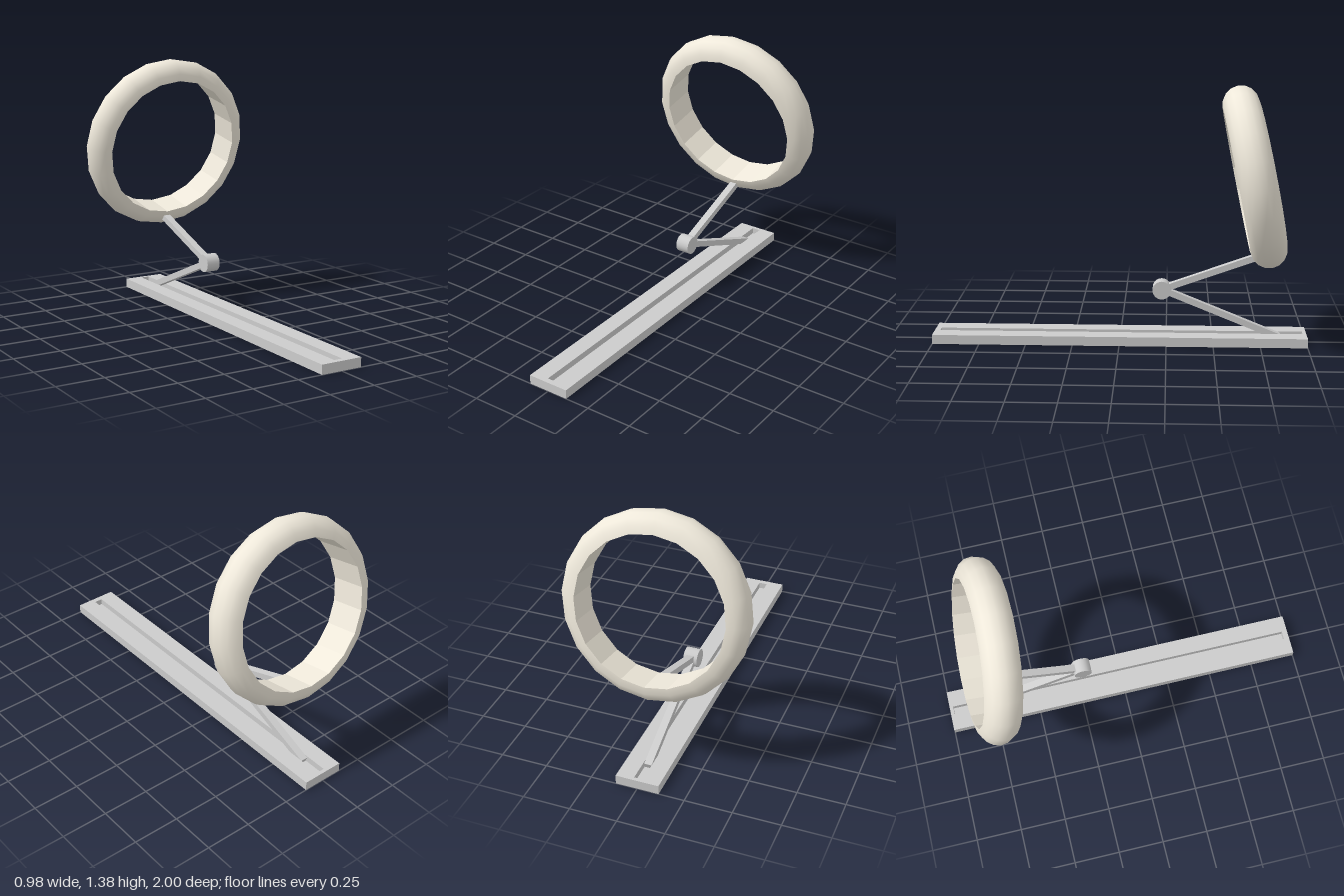
import * as THREE from 'three';

const grey = new THREE.MeshStandardMaterial({ color: 0xcccccc });
const cream = new THREE.MeshStandardMaterial({ color: 0xeee8da });
const creamFlat = new THREE.MeshStandardMaterial({ color: 0xeee8da, flatShading: true });

function add(parent, name, geometry, material = grey) {
  const mesh = new THREE.Mesh(geometry, material);
  mesh.name = name;
  parent.add(mesh);
  return mesh;
}

// Closed rectangle outline
function rect(path, x0, y0, x1, y1) {
  path.moveTo(x0, y0);
  path.lineTo(x1, y0);
  path.lineTo(x1, y1);
  path.lineTo(x0, y1);
  path.closePath();
  return path;
}

// Square bar between two points [y, z] in the middle plane
function addBar(parent, name, [y0, z0], [y1, z1]) {
  const length = Math.hypot(y1 - y0, z1 - z0);
  const bar = add(parent, name, new THREE.BoxGeometry(0.04, 0.033, length));
  bar.position.set(0, (y0 + y1) / 2, (z0 + z1) / 2);
  bar.rotation.x = -Math.atan2(y1 - y0, z1 - z0);
}

export function createModel() {
  const model = new THREE.Group();

  // Long base rail with a slot along its top
  const rail = new THREE.Group();
  rail.name = 'baseRail';
  model.add(rail);
  const floorHeight = 0.015;
  const outline = rect(new THREE.Shape(), -0.115, -1, 0.115, 1);
  outline.holes.push(rect(new THREE.Path(), -0.023, -0.97, 0.023, 0.98));
  const frame = new THREE.ExtrudeGeometry(outline, { depth: 0.05 - floorHeight, bevelEnabled: false });
  frame.rotateX(-Math.PI / 2);
  add(rail, 'slottedTop', frame).position.y = floorHeight;
  add(rail, 'railFloor', new THREE.BoxGeometry(0.23, floorHeight, 2)).position.y = floorHeight / 2;

  // Folding arm: two bars meeting at a round hinge
  const hinge = [0.287, -0.225];
  addBar(model, 'lowerArm', hinge, [0.03, -0.855]);
  addBar(model, 'upperArm', hinge, [0.477, -0.755]);
  const pivot = add(model, 'hinge', new THREE.CylinderGeometry(0.049, 0.049, 0.076, 24));
  pivot.rotation.z = Math.PI / 2;
  pivot.position.set(0, ...hinge);

  // Tilted ring: rounded outside, flat-sided inside
  const ring = new THREE.Group();
  ring.name = 'ring';
  ring.position.set(0, 0.899, -0.708);
  ring.rotation.x = Math.PI / 2 + THREE.MathUtils.degToRad(11.5);
  model.add(ring);
  const innerRadius = 0.389, halfWidth = 0.097, steps = 8, sides = 20;
  const bulge = [];
  for (let i = 0; i <= steps; i++) {
    const a = Math.PI * (i / steps - 0.5);
    bulge.push(new THREE.Vector2(innerRadius + 0.099 * Math.cos(a), halfWidth * Math.sin(a)));
  }
  add(ring, 'ringOutside', new THREE.LatheGeometry(bulge, sides), cream);
  const inside = [bulge[steps], bulge[0]];
  add(ring, 'ringInside', new THREE.LatheGeometry(inside, sides), creamFlat);

  return model;
}
